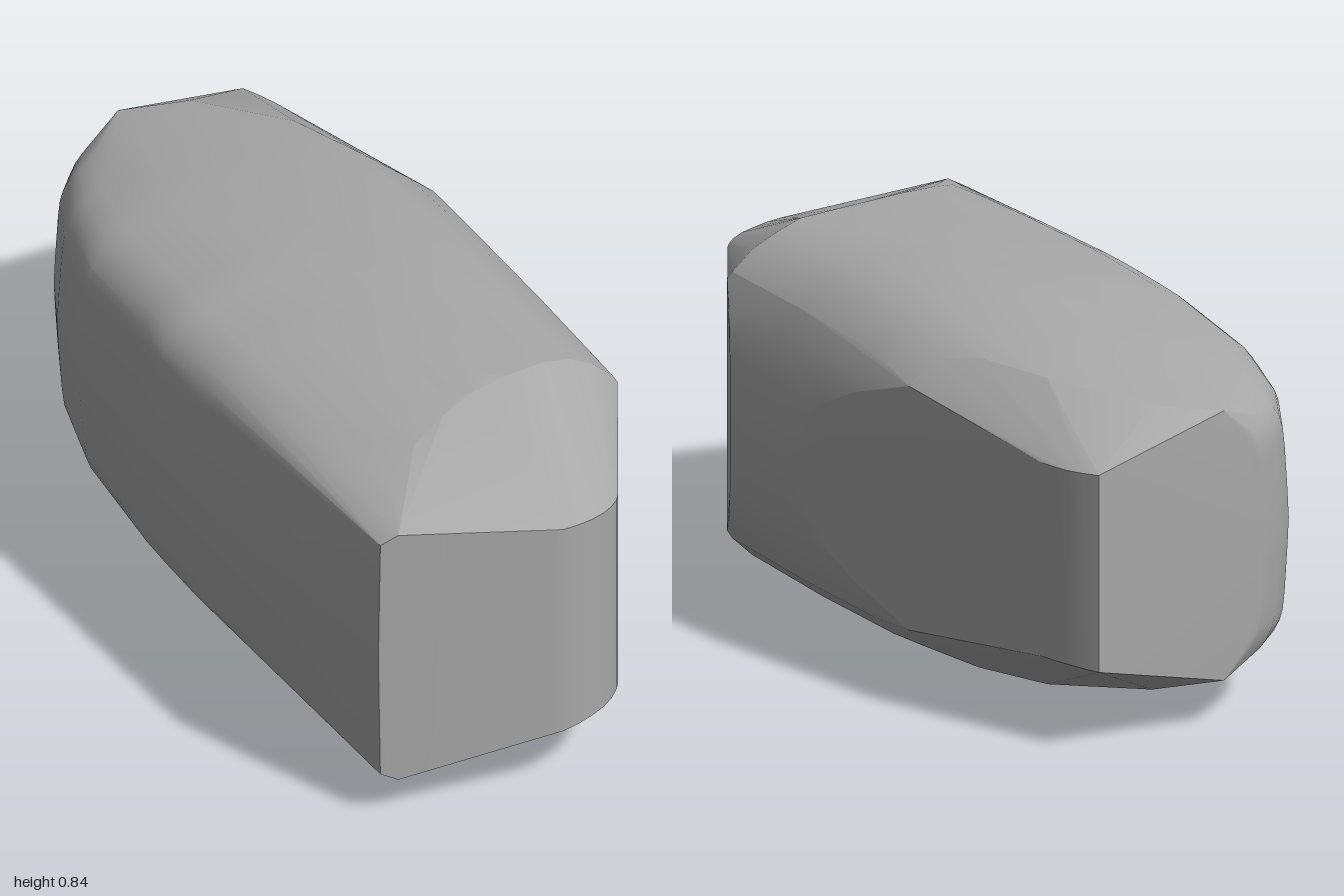
import * as THREE from 'three';
import { ConvexGeometry } from 'three/addons/geometries/ConvexGeometry.js';
import { toCreasedNormals } from 'three/addons/utils/BufferGeometryUtils.js';

const MID = 0.42; // height of the horizontal mirror plane

// Piecewise linear lookup in [key, value] pairs with rising keys
function lerpTable(table, k) {
  if (k <= table[0][0]) return table[0][1];
  for (let i = 1; i < table.length; i++) {
    const [a, va] = table[i - 1], [b, vb] = table[i];
    if (k <= b) return va + (vb - va) * (k - a) / (b - a);
  }
  return table[table.length - 1][1];
}

// Upper half of the widest cross-section: x, relative half height
const section = [
  [-0.47, 0], [-0.465, 0.2], [-0.455, 0.5], [-0.448, 0.62], [-0.437, 0.69], [-0.415, 0.76],
  [-0.385, 0.82], [-0.34, 0.87], [-0.2, 0.95], [-0.05, 0.99], [0.05, 1], [0.2, 0.985],
  [0.27, 0.935], [0.33, 0.86], [0.38, 0.75], [0.42, 0.58], [0.45, 0.38], [0.465, 0.18], [0.47, 0],
];
// Plan outline: z, x on each side
const rightEdge = [[-0.92, 0.285], [-0.84, 0.31], [0.05, 0.46], [0.1, 0.47], [0.33, 0.47], [0.42, 0.45], [0.9, 0.21]];
const leftEdge = [
  [-0.91, -0.21], [-0.87, -0.27], [-0.8, -0.33], [-0.65, -0.4], [-0.45, -0.45],
  [-0.1, -0.47], [0.1, -0.47], [0.5, -0.45], [0.92, -0.405],
];
// Half height along the length
const halfHeight = [
  [-0.91, 0.32], [-0.86, 0.335], [-0.5, 0.383], [-0.15, 0.413], [0.2, 0.42], [0.66, 0.413], [0.92, 0.385],
];
// Where the front chamfer starts: x, z
const chamferStart = [
  [-0.4, 0.92], [-0.3, 0.79], [-0.2, 0.7], [-0.1, 0.645], [0, 0.6], [0.1, 0.575], [0.2, 0.56], [0.33, 0.545], [0.39, 0.55],
];
// How far right the crown reaches towards the back: z, x
const crownLimit = [[-0.91, 0.02], [-0.8, 0.14], [-0.4, 0.3], [-0.3, 0.4], [0.05, 0.47]];

export function createModel() {
  const points = [];
  const add = (x, half, z) => points.push(
    new THREE.Vector3(x, MID + half, z), new THREE.Vector3(x, MID - half, z));

  // Main body: mirrored cross-sections trimmed by the plan outline
  const stations = [
    -0.91, -0.87, -0.8, -0.72, -0.65, -0.55, -0.45, -0.35, -0.25, -0.15, -0.05, 0.05, 0.1, 0.2,
    0.33, 0.42, 0.48, 0.545, 0.6, 0.66, 0.72, 0.79, 0.86, 0.92,
  ];
  for (const z of stations) {
    const left = lerpTable(leftEdge, z), right = lerpTable(rightEdge, z), h = lerpTable(halfHeight, z);
    const limit = Math.min(right, lerpTable(crownLimit, z));
    for (const [sx, sy] of section) {
      const x = sx < 0 ? sx * left / -0.47 : sx;
      if (x <= limit && z <= lerpTable(chamferStart, x) + 0.005) add(x, sy * h, z);
    }
    if (z < 0.56 && z > -0.3) add(right, lerpTable(section, right) * h, z);
  }
  // Crown edge along the front chamfer
  for (const [x, z] of chamferStart) add(x, lerpTable(section, x) * lerpTable(halfHeight, z), z);

  // Front end: upright facets and rounded nose
  const nose = [
    [-0.36, 0.325, 0.93], [-0.39, 0.28, 0.922], [0, 0.27, 0.997], [0.02, 0.268, 1], [0.06, 0.265, 0.994],
    [0.1, 0.261, 0.983], [0.14, 0.258, 0.966], [0.17, 0.255, 0.946], [0.195, 0.252, 0.922], [0.21, 0.25, 0.9],
  ];
  // Rear end: upright edge and slanted right flank
  const tail = [
    [0.25, 0.23, -1], [0.27, 0.228, -0.965], [0.29, 0.226, -0.92], [0.302, 0.226, -0.88], [0.312, 0.226, -0.84],
    [0.352, 0.255, -0.6], [0.394, 0.285, -0.35], [-0.1, 0.315, -0.931],
  ];
  for (const [x, half, z] of [...nose, ...tail]) add(x, half, z);

  const grey = new THREE.MeshStandardMaterial({ color: 0xa8a8a8 });
  grey.name = 'stone grey';
  const body = new THREE.Mesh(toCreasedNormals(new ConvexGeometry(points), 0.3), grey);
  body.name = 'body';

  const group = new THREE.Group();
  group.name = 'facetedStone';
  group.add(body);
  return group;
}
